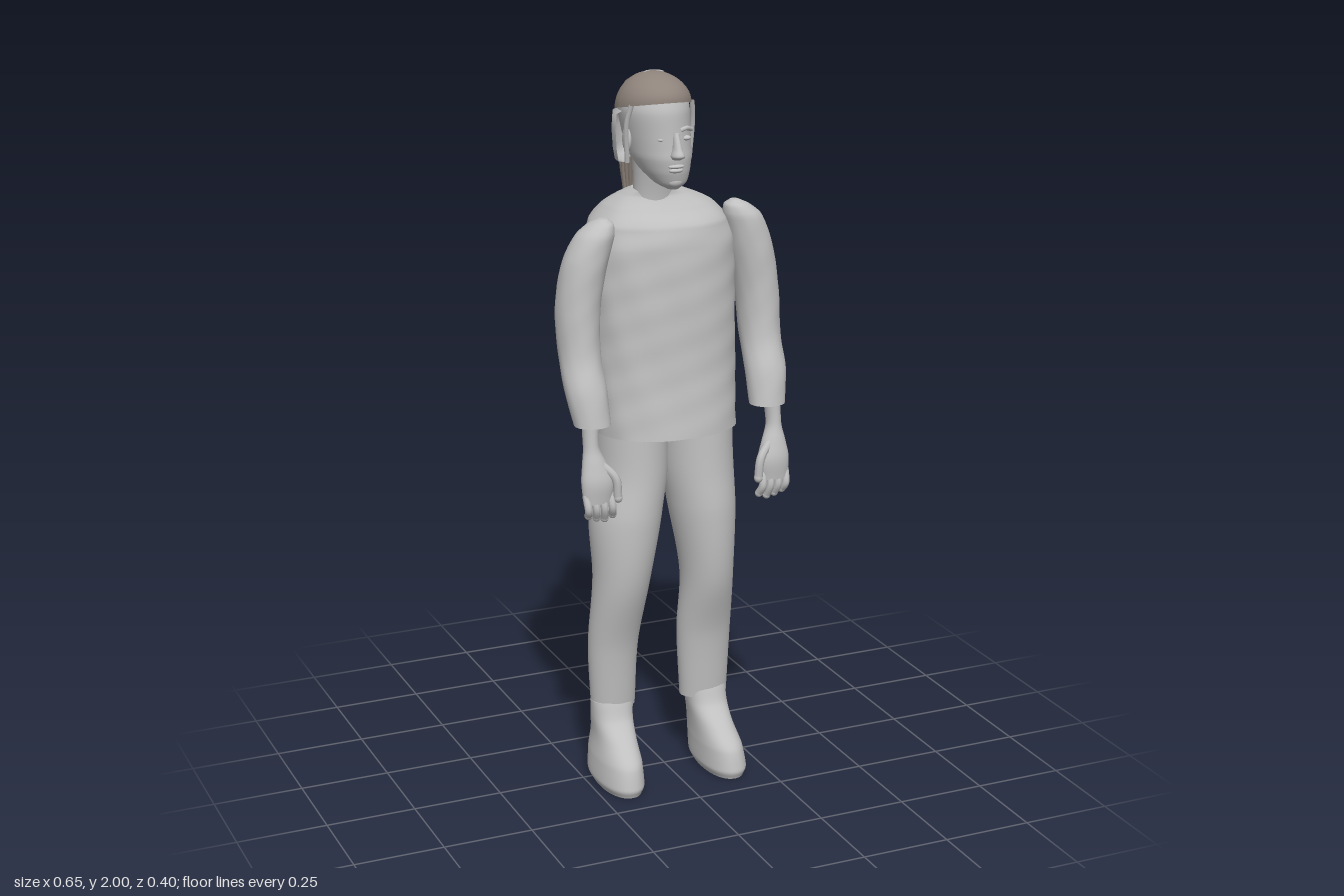
import * as THREE from 'three';

const grey = new THREE.MeshStandardMaterial({ color: 0xc0c0c0, side: THREE.DoubleSide });
grey.name = 'pale grey';
const brown = new THREE.MeshStandardMaterial({ color: 0x8f847c, side: THREE.DoubleSide });
brown.name = 'hair brown grey';

// Smooth body from horizontal sections [x, y, z, halfWidth, halfDepth], listed upwards.
function loft(sections, { power = 2, rings = 40, sides = 40, bump = 0 } = {}) {
  const centres = new THREE.CatmullRomCurve3(sections.map(s => new THREE.Vector3(s[0], s[1], s[2])));
  const radii = new THREE.CatmullRomCurve3(sections.map(s => new THREE.Vector3(s[3], s[4], 0)));
  const pos = [], index = [];
  const bend = v => Math.sign(v) * Math.pow(Math.abs(v), 2 / power);
  for (let j = 0; j <= rings; j++) {
    const c = centres.getPoint(j / rings), r = radii.getPoint(j / rings);
    for (let i = 0; i < sides; i++) {
      const a = (i / sides) * Math.PI * 2;
      const k = 1 + bump * Math.sin(a * 7 + c.y * 23) * Math.sin(c.y * 47 - a * 3);
      pos.push(c.x + r.x * k * bend(Math.cos(a)), c.y, c.z + r.y * k * bend(Math.sin(a)));
    }
  }
  for (let j = 0; j < rings; j++) {
    for (let i = 0; i < sides; i++) {
      const a = j * sides + i, b = j * sides + (i + 1) % sides;
      index.push(a, a + sides, b, b, a + sides, b + sides);
    }
  }
  // flat end caps with their own corners
  for (const j of [0, rings]) {
    const start = pos.length / 3, c = centres.getPoint(j / rings);
    pos.push(c.x, c.y, c.z, ...pos.slice(j * sides * 3, (j + 1) * sides * 3));
    for (let i = 0; i < sides; i++) {
      const a = start + 1 + i, b = start + 1 + (i + 1) % sides;
      index.push(start, ...(j === 0 ? [a, b] : [b, a]));
    }
  }
  const g = new THREE.BufferGeometry();
  g.setAttribute('position', new THREE.Float32BufferAttribute(pos, 3));
  g.setIndex(index);
  g.computeVertexNormals();
  return g;
}

function tube(points, radius) {
  const path = new THREE.CatmullRomCurve3(points.map(p => new THREE.Vector3(...p)));
  return new THREE.TubeGeometry(path, 16, radius, 8);
}

function add(parent, name, geometry, material = grey) {
  const mesh = new THREE.Mesh(geometry, material);
  mesh.name = name;
  parent.add(mesh);
  return mesh;
}

function blob(parent, name, [x, y, z], [rx, ry, rz]) {
  const mesh = add(parent, name, new THREE.SphereGeometry(1, 20, 14));
  mesh.position.set(x, y, z);
  mesh.scale.set(rx, ry, rz);
  return mesh;
}

function part(parent, name) {
  const g = new THREE.Group();
  g.name = name;
  parent.add(g);
  return g;
}

function buildHand(parent, s) {
  const hand = part(parent, s > 0 ? 'leftHand' : 'rightHand');
  add(hand, 'palm', loft([
    [s * 0.262, 0.875, 0.155, 0.04, 0.02], [s * 0.26, 0.93, 0.152, 0.046, 0.027],
    [s * 0.265, 0.98, 0.142, 0.034, 0.026], [s * 0.27, 1.03, 0.13, 0.021, 0.024],
    [s * 0.265, 1.12, 0.118, 0.024, 0.028]], { rings: 20, sides: 20 }));
  for (let i = 0; i < 4; i++) {
    const x = 0.226 + i * 0.023, tip = 0.825 + Math.abs(i - 1.2) * 0.008;
    add(hand, 'finger', tube([[s * x, 0.9, 0.155], [s * (x - 0.003), 0.86, 0.166],
      [s * (x - 0.008), tip, 0.152]], 0.011));
    blob(hand, 'fingertip', [s * (x - 0.008), tip, 0.152], [0.011, 0.011, 0.011]);
  }
  add(hand, 'thumb', tube([[s * 0.25, 0.98, 0.15], [s * 0.215, 0.94, 0.168], [s * 0.208, 0.885, 0.168]], 0.012));
  blob(hand, 'thumbTip', [s * 0.208, 0.885, 0.168], [0.012, 0.014, 0.012]);
}

function buildHead(parent) {
  const head = part(parent, 'head');
  add(head, 'neck', loft([[-0.035, 1.6, 0, 0.064, 0.052], [-0.035, 1.68, 0.012, 0.057, 0.047],
    [-0.04, 1.8, 0.025, 0.06, 0.06]]));
  add(head, 'skull', loft([
    [-0.03, 1.703, 0.12, 0.016, 0.022], [-0.03, 1.718, 0.108, 0.042, 0.046],
    [-0.035, 1.75, 0.082, 0.064, 0.082], [-0.04, 1.79, 0.06, 0.08, 0.108],
    [-0.045, 1.84, 0.05, 0.086, 0.113], [-0.05, 1.9, 0.045, 0.091, 0.115],
    [-0.05, 1.94, 0.045, 0.083, 0.103], [-0.05, 1.975, 0.045, 0.058, 0.072],
    [-0.05, 1.99, 0.045, 0.02, 0.02]]));
  // face
  const x = -0.037;
  add(head, 'nose', loft([[x, 1.787, 0.166, 0.012, 0.014], [x, 1.797, 0.172, 0.018, 0.026],
    [x, 1.815, 0.169, 0.012, 0.02], [x, 1.855, 0.158, 0.008, 0.011]], { rings: 16, sides: 16 }));
  blob(head, 'upperLip', [x, 1.768, 0.163], [0.023, 0.006, 0.011]);
  blob(head, 'lowerLip', [x, 1.757, 0.16], [0.02, 0.007, 0.012]);
  blob(head, 'chin', [-0.032, 1.725, 0.144], [0.022, 0.016, 0.014]);
  for (const s of [-1, 1]) {
    blob(head, 'eye', [x + s * 0.034, 1.838, 0.145], [0.015, 0.007, 0.013]);
    add(head, 'brow', tube([[x + s * 0.014, 1.86, 0.156], [x + s * 0.034, 1.864, 0.149],
      [x + s * 0.056, 1.857, 0.133]], 0.006));
    blob(head, 'ear', [-0.045 + s * 0.088, 1.83, 0.062], [0.011, 0.034, 0.02]);
    add(head, 'sideLock', tube([[-0.05 + s * 0.086, 1.925, 0.1], [-0.05 + s * 0.094, 1.87, 0.085],
      [-0.046 + s * 0.089, 1.77, 0.068]], 0.007));
  }
  // flared shell round the back of the head
  const profile = [[0.075, 1.765], [0.102, 1.77], [0.107, 1.8], [0.11, 1.85], [0.107, 1.895], [0.078, 1.908]];
  const shell = add(head, 'backShell', new THREE.LatheGeometry(
    profile.map(p => new THREE.Vector2(...p)), 32, Math.PI / 2, Math.PI));
  shell.position.set(-0.05, 0, 0.05);
  shell.scale.z = 1.15;
}

function buildHair(parent) {
  const hair = part(parent, 'hair');
  // cap whose rim rises towards the forehead
  const cap = new THREE.SphereGeometry(1, 40, 16, 0, Math.PI * 2, 0, Math.PI / 2);
  cap.scale(0.098, 0.09, 0.115);
  const p = cap.attributes.position;
  for (let i = 0; i < p.count; i++) {
    p.setY(i, p.getY(i) + p.getZ(i) * 0.2 * (1 - p.getY(i) / 0.09));
  }
  cap.computeVertexNormals();
  cap.translate(-0.05, 1.91, 0.041);
  add(hair, 'hairCap', cap, brown);
  // crescent of scalp on the crown
  const crown = add(hair, 'crownPatch', new THREE.TorusGeometry(0.024, 0.004, 6, 20, Math.PI));
  crown.rotation.x = -Math.PI / 2;
  crown.position.set(-0.047, 1.996, 0.045);
  // ponytail: gathered core and loose strands
  add(hair, 'ponytailRoot', tube([[-0.055, 1.94, -0.03], [-0.06, 1.945, -0.075], [-0.055, 1.9, -0.105]], 0.022), brown);
  add(hair, 'ponytail', loft([[-0.028, 1.64, -0.15, 0.012, 0.008], [-0.032, 1.74, -0.138, 0.028, 0.018],
    [-0.042, 1.86, -0.112, 0.032, 0.025], [-0.055, 1.93, -0.083, 0.02, 0.018]], { sides: 20 }), brown);
  for (let i = 0; i < 16; i++) {
    const a = (i / 16) * Math.PI * 2, c = Math.cos(a), d = Math.sin(a);
    add(hair, 'hairStrand', tube([[-0.055 + c * 0.016, 1.945, -0.075 + d * 0.012],
      [-0.043 + c * 0.033, 1.86, -0.112 + d * 0.026], [-0.034 + c * 0.034, 1.74, -0.138 + d * 0.02],
      [-0.03 + c * 0.022, 1.63 + (i * 5 % 7) * 0.007, -0.15 + d * 0.011]], 0.005), brown);
  }
}

export function createModel() {
  const model = new THREE.Group();
  model.name = 'standingFigure';

  add(model, 'tunic', loft([
    [0, 1.02, 0.005, 0.198, 0.155], [0, 1.2, -0.01, 0.202, 0.15], [0, 1.4, -0.022, 0.204, 0.154],
    [0, 1.53, -0.036, 0.204, 0.16], [0, 1.59, -0.044, 0.19, 0.155], [-0.005, 1.635, -0.04, 0.15, 0.115],
    [-0.02, 1.667, -0.022, 0.095, 0.075], [-0.032, 1.685, 0.002, 0.06, 0.052]],
  { power: 2.25, rings: 70, sides: 64, bump: 0.009 }));

  // trouser legs
  add(model, 'rightTrouserLeg', loft([
    [-0.155, 0.21, -0.008, 0.064, 0.049], [-0.157, 0.4, 0.002, 0.072, 0.058], [-0.14, 0.6, 0.025, 0.08, 0.085],
    [-0.122, 0.78, 0.01, 0.1, 0.11], [-0.1, 0.9, -0.005, 0.1, 0.115], [-0.098, 1.05, -0.015, 0.1, 0.118]]));
  add(model, 'leftTrouserLeg', loft([
    [0.124, 0.2, -0.008, 0.07, 0.049], [0.12, 0.4, 0.002, 0.079, 0.058], [0.118, 0.58, 0.025, 0.074, 0.083],
    [0.108, 0.78, 0.01, 0.093, 0.11], [0.1, 0.9, -0.005, 0.1, 0.115], [0.098, 1.05, -0.015, 0.1, 0.118]]));

  // shoes
  for (const s of [-1, 1]) {
    const x = s > 0 ? 0.138 : -0.17;
    add(model, s > 0 ? 'leftShoe' : 'rightShoe', loft([
      [x + s * 0.003, 0, 0.062, 0.054, 0.118], [x + s * 0.003, 0.025, 0.055, 0.064, 0.132],
      [x, 0.08, 0.043, 0.06, 0.128], [x - s * 0.005, 0.13, 0.02, 0.055, 0.098],
      [x - s * 0.008, 0.18, 0, 0.058, 0.062], [x - s * 0.011, 0.23, -0.005, 0.062, 0.046]], { power: 2.2 }));
  }

  // sleeves and hands
  for (const s of [-1, 1]) {
    const lift = s > 0 ? 0.02 : 0;
    add(model, s > 0 ? 'leftSleeve' : 'rightSleeve', loft([
      [s * 0.258, 1.08, 0.113, 0.05, 0.046], [s * 0.265, 1.17, 0.085, 0.057, 0.056],
      [s * 0.266, 1.26, 0.045, 0.056, 0.064], [s * 0.263, 1.38, 0.028, 0.06, 0.068],
      [s * 0.243, 1.5, 0.03, 0.061, 0.064], [s * 0.215, 1.575 + lift, 0.034, 0.053, 0.054],
      [s * 0.198, 1.605 + lift, 0.034, 0.034, 0.038], [s * 0.192, 1.618 + lift, 0.034, 0.012, 0.014]],
    { bump: 0.01 }));
    buildHand(model, s);
  }

  buildHead(model);
  buildHair(model);
  return model;
}
